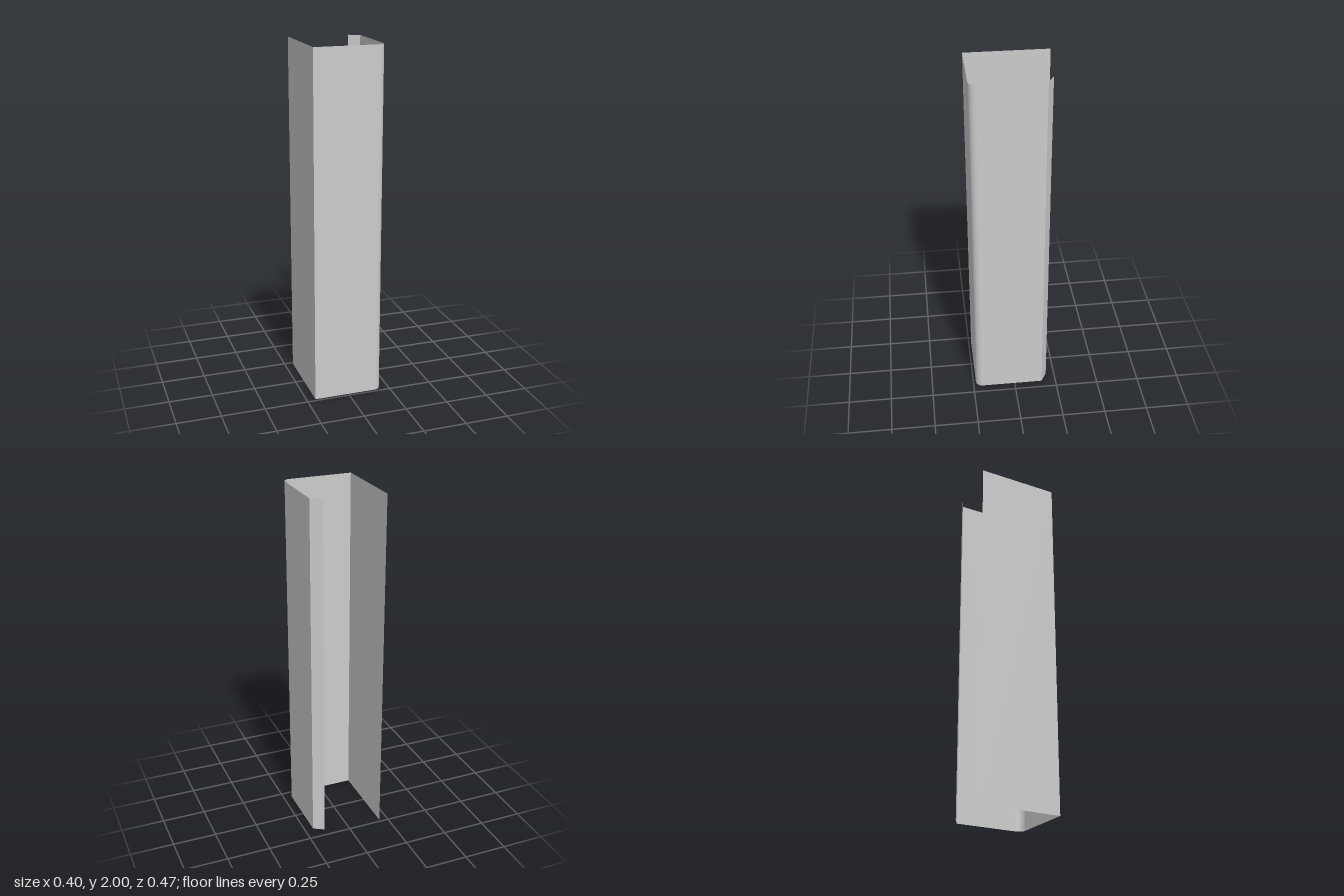
import * as THREE from 'three';

const HEIGHT = 2;
const X = 0.2;       // half width
const Z = 0.235;     // half depth
const R = 0.04;      // radius of the rounded front corner
const BACK = -0.165; // where the short side wall ends

export function createModel() {
  const group = new THREE.Group();
  const material = new THREE.MeshStandardMaterial({ color: 0xcccccc, side: THREE.DoubleSide });

  function add(name, geometry, x, z, turn = 0) {
    const mesh = new THREE.Mesh(geometry, material);
    mesh.name = name;
    mesh.position.set(x, HEIGHT / 2, z);
    mesh.rotation.y = turn;
    group.add(mesh);
  }

  // Upright thin sheet between two plan points, outside on the right of travel
  function sheet(name, [x1, z1], [x2, z2]) {
    const dx = x2 - x1, dz = z2 - z1;
    add(name, new THREE.PlaneGeometry(Math.hypot(dx, dz), HEIGHT),
      (x1 + x2) / 2, (z1 + z2) / 2, Math.atan2(-dz, dx));
  }

  // Folded sheet profile, followed around the plan
  sheet('rightWall', [-X, -Z], [-X, Z]);
  sheet('frontWall', [-X, Z], [X - R, Z]);
  add('roundedCorner',
    new THREE.CylinderGeometry(R, R, HEIGHT, 10, 1, true, 0, Math.PI / 2), X - R, Z - R);
  sheet('leftWall', [X, Z - R], [X, BACK]);
  sheet('backLip', [X, BACK], [X - 0.06, BACK - 0.035]);

  return group;
}
